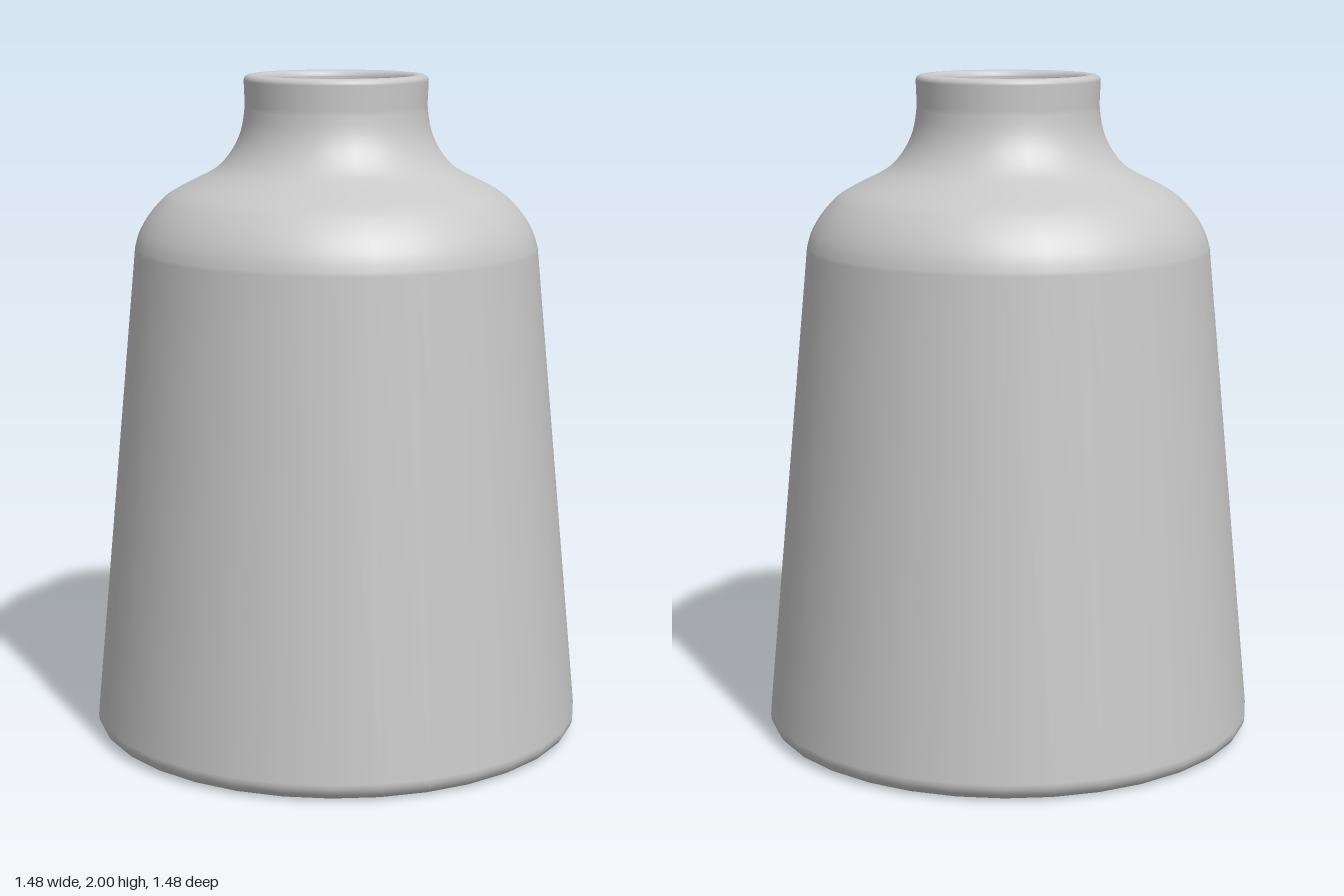
import * as THREE from 'three';

const SIDES = 32;

// Points of an arc in the (radius, height) plane, angles in degrees
function arc(cx, cy, r, from, to, steps = 5) {
  return Array.from({ length: steps + 1 }, (_, i) => {
    const a = THREE.MathUtils.degToRad(from + ((to - from) * i) / steps);
    return new THREE.Vector2(cx + r * Math.cos(a), cy + r * Math.sin(a));
  });
}

// Smooth curve through a few [radius, height] points
function curve(points, steps) {
  return new THREE.SplineCurve(points.map(([x, y]) => new THREE.Vector2(x, y))).getPoints(steps);
}

export function createModel() {
  const group = new THREE.Group();
  group.name = 'bottle';
  const grey = new THREE.MeshStandardMaterial({ color: 0xc8c8c8 });
  grey.name = 'plainGrey';

  function addLathe(name, profile) {
    const mesh = new THREE.Mesh(new THREE.LatheGeometry(profile, SIDES), grey);
    mesh.name = name;
    group.add(mesh);
  }

  const shoulder = [
    [0.607, 1.48], [0.594, 1.526], [0.567, 1.575], [0.53, 1.62], [0.485, 1.657],
    [0.38, 1.71], [0.335, 1.745], [0.3, 1.795], [0.28, 1.85], [0.272, 1.91],
  ];

  // Outer wall: rounded foot, tapering body, shoulder, neck and rounded lip
  addLathe('outerWall', [
    new THREE.Vector2(0.67, 0),
    ...arc(0.692, 0.05, 0.05, -90, 5),
    ...curve(shoulder, 28),
    ...arc(0.257, 1.982, 0.018, 0, 90, 4),
    ...arc(0.245, 1.982, 0.018, 90, 180, 4),
  ]);

  // Inner wall: the same outline set in by the wall thickness, lip to floor
  addLathe('innerWall', [
    new THREE.Vector2(0.227, 1.982),
    ...curve(shoulder.map(([x, y]) => [x - 0.045, y - 0.01]), 28).reverse(),
    ...arc(0.65, 0.09, 0.04, 5, -90),
  ]);

  // Flat discs closing the underside and the inside
  addLathe('underside', [new THREE.Vector2(0, 0), new THREE.Vector2(0.67, 0)]);
  addLathe('innerFloor', [new THREE.Vector2(0.65, 0.05), new THREE.Vector2(0, 0.05)]);

  return group;
}
